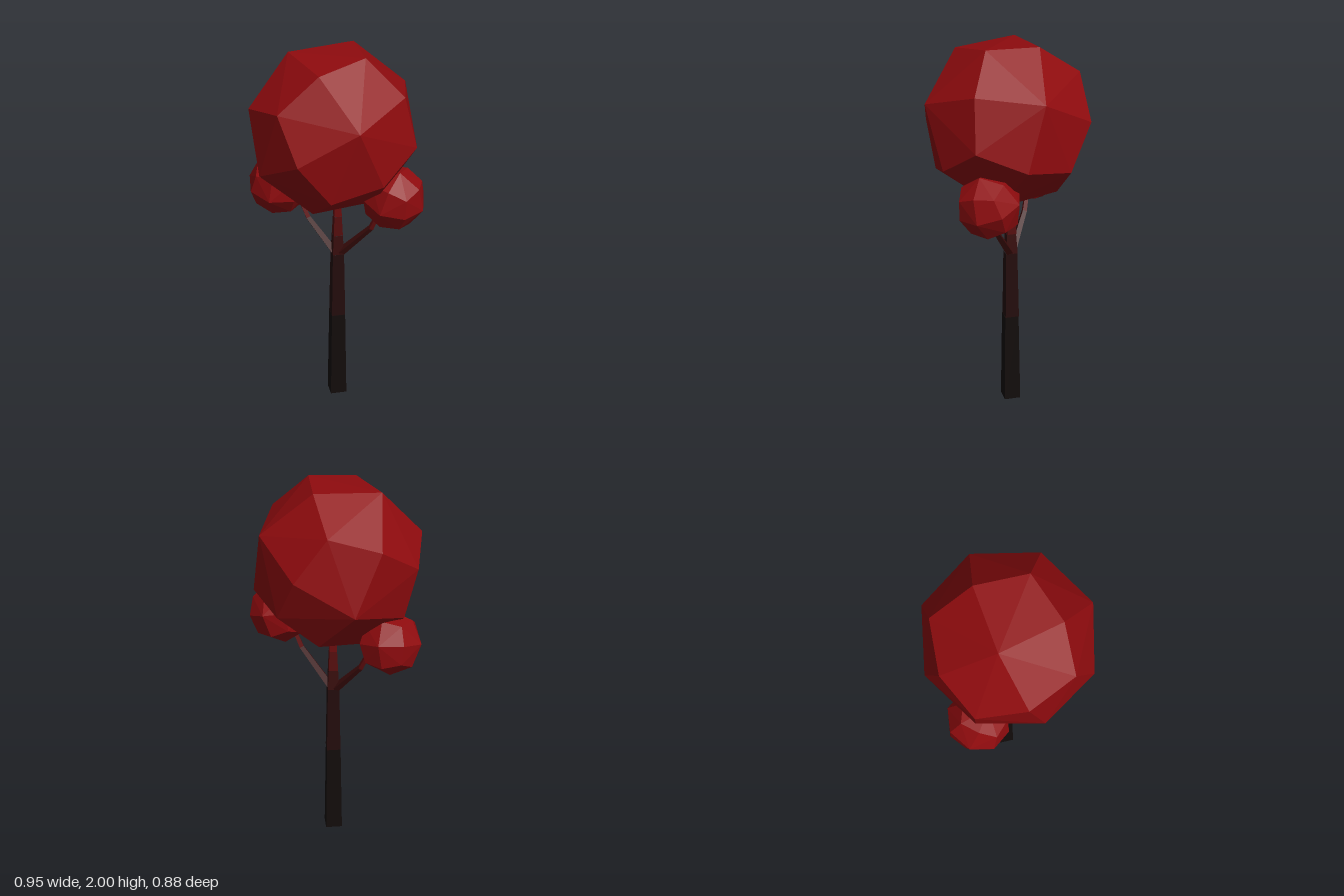
import * as THREE from 'three';
import { ConvexGeometry } from 'three/addons/geometries/ConvexGeometry.js';

const RED = new THREE.Color(0x900b0e);
const BARK = new THREE.Color(0x120c0b);
const material = (color) => new THREE.MeshStandardMaterial({ color, flatShading: true });
const v = (x, y, z) => new THREE.Vector3(x, y, z);

// Faceted ball: a cube split two by two per side, pushed out to a sphere
function foliage(name, radius, center, rotation) {
  const points = [];
  for (let x = -1; x <= 1; x++)
    for (let y = -1; y <= 1; y++)
      for (let z = -1; z <= 1; z++)
        if (x || y || z) points.push(v(x, y, z).setLength(radius).applyMatrix4(rotation));
  const mesh = new THREE.Mesh(new ConvexGeometry(points), material(RED));
  mesh.name = name;
  mesh.position.copy(center);
  return mesh;
}

// Four-sided tapered piece of wood between two points
function limb(name, from, to, r0, r1, color, openEnded = false) {
  const dir = to.clone().sub(from);
  const mesh = new THREE.Mesh(
    new THREE.CylinderGeometry(r1, r0, dir.length(), 4, 1, openEnded), material(color));
  mesh.name = name;
  mesh.position.copy(from).add(to).multiplyScalar(0.5);
  mesh.quaternion.setFromUnitVectors(v(0, 1, 0), dir.normalize());
  return mesh;
}

export function createModel() {
  const tree = new THREE.Group();
  tree.name = 'tree';

  // Trunk: stacked tapering sections turning from dark bark to red
  const trunk = new THREE.Group();
  trunk.name = 'trunk';
  const sections = [ // height, radius, redness
    [0, 0.0625, 0], [0.5, 0.052, 0.04], [0.87, 0.043, 0.12],
    [0.98, 0.035, 0.3], [1.09, 0.028, 0.5], [1.19, 0.023, 0.7], [1.28, 0.02, 0.8]];
  for (let i = 1; i < sections.length; i++) {
    const [y0, r0, t] = sections[i - 1];
    const [y1, r1] = sections[i];
    trunk.add(limb('trunkSection', v(0.012, y0, -0.03), v(0.013, y1, -0.028), r0, r1,
      BARK.clone().lerp(RED, t), i > 1 && i < sections.length - 1));
  }
  tree.add(trunk);

  // Branches: each leaves the trunk, bends at an elbow and ends in a small ball
  const branches = [
    ['leftBranch', v(0.02, 0.865, -0.03), v(0.205, 1.06, -0.055), v(0.25, 1.17, -0.07)],
    ['rightBranch', v(0, 0.865, -0.03), v(-0.16, 1.04, -0.012), v(-0.215, 1.16, 0)]];
  for (const [name, root, elbow, tip] of branches) {
    const branch = new THREE.Group();
    branch.name = name;
    branch.add(
      limb('lowerBranch', root, elbow, 0.024, 0.016, BARK.clone().lerp(RED, 0.15)),
      limb('upperBranch', elbow.clone().lerp(tip, -0.05), tip, 0.016, 0.013,
        BARK.clone().lerp(RED, 0.4)));
    tree.add(branch);
  }

  // Foliage: tilted main crown and two small side balls
  const tilt = new THREE.Matrix4().makeBasis(
    v(0.476, 0.421, -0.775), v(-0.476, 0.861, 0.181), v(0.736, 0.289, 0.612));
  const turn = (x, y, z) => new THREE.Matrix4().makeRotationFromEuler(new THREE.Euler(x, y, z));
  tree.add(
    foliage('crown', 0.45, v(0.004, 1.593, 0), tilt),
    foliage('leftFoliage', 0.168, v(0.317, 1.25, -0.088), turn(0.2, 0.1, -0.3)),
    foliage('rightFoliage', 0.168, v(-0.318, 1.22, 0.025), turn(0.3, 0.25, -0.2)));
  return tree;
}
